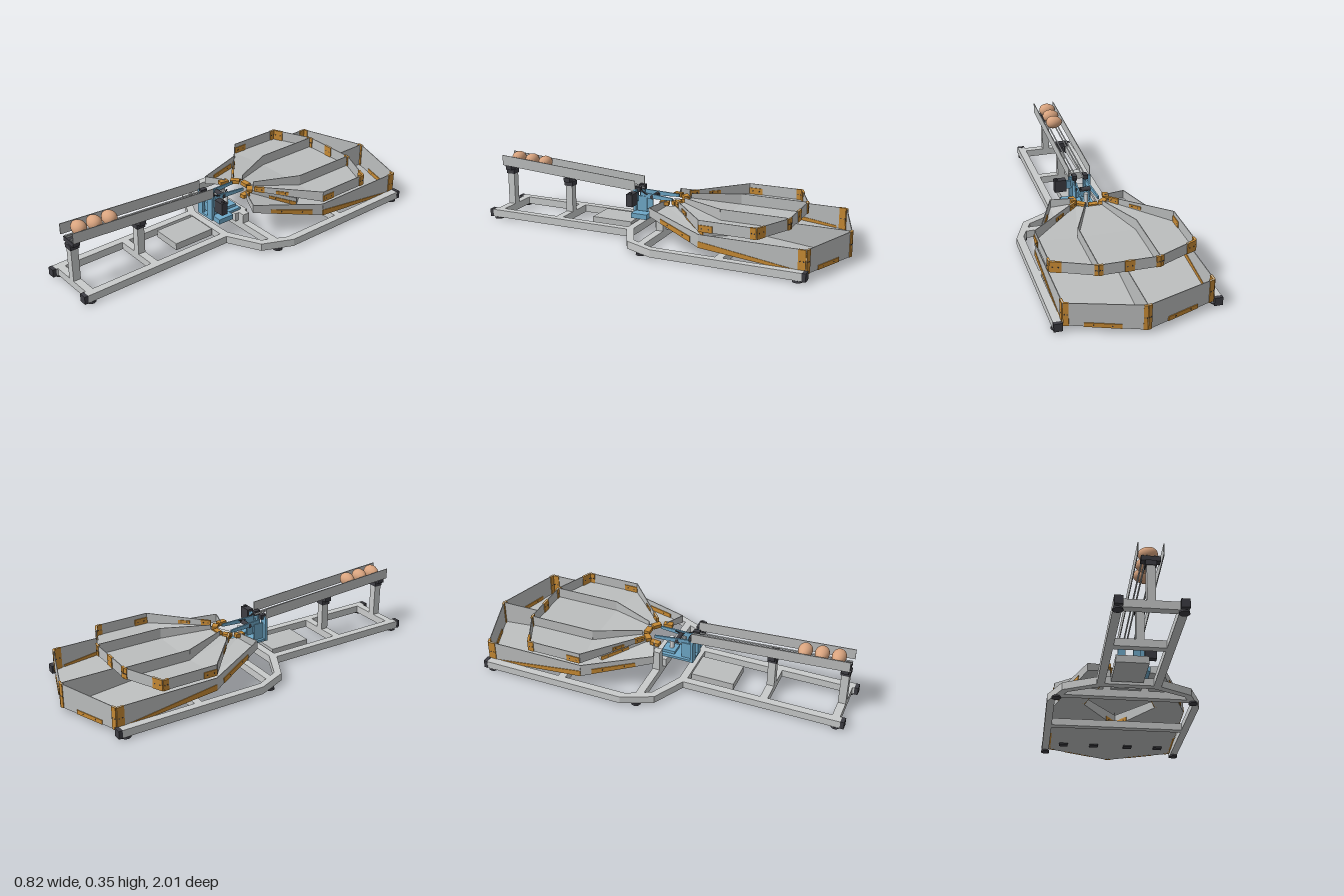
import * as THREE from 'three';
import { ConvexGeometry } from 'three/addons/geometries/ConvexGeometry.js';

const mat = (name, color, side = THREE.FrontSide) => {
  const m = new THREE.MeshStandardMaterial({ color, side });
  m.name = name;
  return m;
};

export function createModel() {
  const root = new THREE.Group();
  root.name = 'eggSortingTable';
  const frame = mat('frame grey', 0xc9cbcb);
  const sheet = mat('sheet metal', 0xbcbebe, THREE.DoubleSide);
  const wood = mat('orange bracket', 0xc78a34);
  const dark = mat('dark plastic', 0x3d3d43);
  const blue = mat('blue mechanism', 0x6fa9c9);
  const shell = mat('egg shell', 0xd9a47f);
  const chrome = mat('pale rod', 0xdfe3e5);

  const add = (name, geo, m, parent = root) => {
    const mesh = new THREE.Mesh(geo, m);
    mesh.name = name;
    parent.add(mesh);
    return mesh;
  };
  // Box given by its limits on each axis
  const box = (name, m, x0, x1, y0, y1, z0, z1) => {
    const mesh = add(name, new THREE.BoxGeometry(x1 - x0, y1 - y0, z1 - z0), m);
    mesh.position.set((x0 + x1) / 2, (y0 + y1) / 2, (z0 + z1) / 2);
    return mesh;
  };
  const rod = (name, m, pts, r) => add(name, new THREE.TubeGeometry(
    new THREE.CatmullRomCurve3(pts.map(p => new THREE.Vector3(...p))), 16, r, 8), m);
  // Upright plate between two stations [x, z, bottom, top]
  const plate = (name, m, a, b, t) => {
    const n = new THREE.Vector2(b[1] - a[1], a[0] - b[0]).normalize().multiplyScalar(t / 2);
    const pts = [];
    for (const p of [a, b]) for (const k of [-1, 1]) for (const y of [p[2], p[3]])
      pts.push(new THREE.Vector3(p[0] + k * n.x, y, p[1] + k * n.y));
    return add(name, new ConvexGeometry(pts), m);
  };
  // Bracket covering the part u0..u1 along a wall and v0..v1 of its height, with screws
  const bracket = (a, b, u0, u1, v0, v1) => {
    const at = u => {
      const p = a.map((v, i) => v + (b[i] - v) * u);
      return [p[0], p[1], p[2] + (p[3] - p[2]) * v0, p[2] + (p[3] - p[2]) * v1];
    };
    const p = at(u0), q = at(u1);
    plate('bracket', wood, p, q, 0.012);
    const angle = Math.atan2(q[0] - p[0], q[1] - p[1]) + Math.PI / 2;
    for (const u of [0.25, 0.75]) {
      const c = p.map((v, i) => v + (q[i] - v) * u);
      const g = new THREE.CylinderGeometry(0.0035, 0.0035, 0.014, 8).rotateX(Math.PI / 2).rotateY(angle);
      add('screw', g, dark).position.set(c[0], (c[2] + c[3]) / 2, c[1]);
    }
  };
  const wall = (a, b, name = 'trayWall') => plate(name, sheet, a, b, 0.004);
  // Flat panel from corner points [x, y, z], cut as a fan
  const panel = (name, pts) => {
    const v = [];
    for (let i = 1; i < pts.length - 1; i++) v.push(...pts[0], ...pts[i], ...pts[i + 1]);
    const g = new THREE.BufferGeometry();
    g.setAttribute('position', new THREE.Float32BufferAttribute(v, 3));
    g.computeVertexNormals();
    return add(name, g, sheet);
  };
  const floorY = z => 0.02 + 0.095 * (z + 1);

  // Base frame: bent side rails, cross members, end caps and feet
  const railOutline = [[0.165, 0.98], [0.165, 0.15], [0.335, 0.06], [0.405, -0.1], [0.405, -0.885],
    [0.365, -0.885], [0.365, -0.09], [0.305, 0.035], [0.125, 0.125], [0.125, 0.98]];
  for (const s of [-1, 1]) {
    const shape = new THREE.Shape(railOutline.map(([x, z]) => new THREE.Vector2(s * x, -z)));
    const g = new THREE.ExtrudeGeometry(shape, { depth: 0.04, bevelEnabled: false }).rotateX(-Math.PI / 2);
    add('sideRail', g, frame).position.y = 0.01;
    box('railEndCap', dark, s * 0.145 - 0.02, s * 0.145 + 0.02, 0.009, 0.051, 0.98, 1.0);
    box('railEndCap', dark, s * 0.385 - 0.021, s * 0.385 + 0.021, 0.009, 0.051, -0.895, -0.875);
    for (const [x, z] of [[0.145, 0.955], [0.385, -0.85], [0.36, -0.03]])
      add('foot', new THREE.CylinderGeometry(0.023, 0.025, 0.01, 16), dark).position.set(s * x, 0.005, z);
  }
  for (const [z, w] of [[0.95, 0.125], [0.575, 0.125], [0.14, 0.14], [-0.02, 0.34], [-0.45, 0.365]])
    box('crossMember', frame, -w, w, 0.01, 0.05, z - 0.02, z + 0.02);

  // Electronics tray between the front rails
  box('controlBox', sheet, -0.095, 0.07, 0.02, 0.058, 0.17, 0.4);

  // Lower tray: two lanes with side chutes
  const F = (x, z, top = 0.15) => [x, z, floorY(z), top];
  wall(F(0, -1), F(0, -0.55), 'lowerDivider');
  for (const s of [-1, 1]) {
    const tip = F(0, -1), back = F(s * 0.36, -0.88), side = F(s * 0.36, -0.34);
    const wing = [s * 0.2, 0, 0.15, 0.195], hub = [s * 0.085, -0.045, 0.18, 0.21];
    const inner = [s * 0.07, -0.09, 0.18, 0.2], elbow = F(s * 0.2, -0.3, 0.13), notch = F(0, -0.55, 0.13);
    const P = p => [p[0], p[2], p[1]];
    panel('lowerFloor', [notch, tip, back, side, elbow].map(P));
    panel('lowerChute', [elbow, side, wing, hub, inner].map(P));
    const runs = [tip, back, side, wing, hub];
    for (let i = 0; i < 4; i++) wall(runs[i], runs[i + 1]);
    wall(inner, elbow, 'lowerInnerWall');
    wall(elbow, notch, 'lowerInnerWall');
    bracket(tip, back, 0.0, 0.05, 0, 1);
    bracket(tip, back, 0.3, 0.75, 0, 0.18);
    bracket(tip, back, 0.93, 1, 0, 1);
    bracket(back, side, 0, 0.07, 0, 1);
    plate('bottomStrip', wood, [s * 0.36, -0.83, 0.036, 0.048], [s * 0.36, -0.34, 0.083, 0.115], 0.01);
    bracket(side, wing, 0.15, 0.75, 0.05, 0.5);
    bracket(inner, elbow, 0.4, 1, 0, 0.5);
    bracket(elbow, notch, 0.7, 1, 0, 0.4);
    for (const x of [0.1, 0.28])
      box('floorPad', dark, s * x - 0.025, s * x + 0.025, floorY(-0.8) - 0.01, floorY(-0.8) - 0.002, -0.82, -0.78);
  }

  // Upper tray: three lanes fanning out of the hub
  const U = (x, z, y = 0.165, top = 0.222) => [x, z, y, top];
  const P = p => [p[0], p[2], p[1]];
  const mid = s => [U(s * 0.15, -0.73), U(s * 0.15, -0.37), U(s * 0.045, -0.13, 0.198)];
  const [rl, el, hl] = mid(1), [rr, er, hr] = mid(-1);
  panel('upperMiddleFloor', [rl, el, er, rr].map(P));
  panel('upperMiddleChute', [el, hl, hr, er].map(P));
  wall(rl, rr);
  for (const u of [0, 0.42, 0.93]) bracket(rl, rr, u, u + (u === 0.42 ? 0.16 : 0.07), 0, 1);
  for (const s of [-1, 1]) {
    const [rear, elbow, hub] = mid(s);
    const back = U(s * 0.36, -0.635), side = U(s * 0.36, -0.34), out = U(s * 0.09, -0.1, 0.195);
    panel('upperSideFloor', [rear, back, side, elbow].map(P));
    panel('upperSideChute', [elbow, side, out, hub].map(P));
    const runs = [rear, back, side, out];
    for (let i = 0; i < 3; i++) wall(runs[i], runs[i + 1]);
    wall(rear, elbow, 'upperDivider');
    wall(elbow, hub, 'upperDivider');
    bracket(rear, back, 0, 0.08, 0, 1);
    bracket(rear, back, 0.75, 1, 0, 1);
    bracket(back, side, 0, 0.1, 0, 1);
    bracket(back, side, 0.75, 1, 0, 0.6);
    bracket(side, out, 0.5, 0.68, 0.15, 0.6);
    bracket(side, out, 0.85, 1, 0, 1);
  }

  // Orange hub blocks around the outlet
  for (let i = -2; i <= 2; i++) {
    const a = i * 0.72;
    const b = box('hubBlock', wood, -0.024, 0.024, 0.185, 0.205, -0.015, 0.015);
    b.position.x = Math.sin(a) * 0.09;
    b.position.z = -0.025 - Math.cos(a) * 0.09;
    b.rotation.y = -a;
  }

  // Inclined feed track on two posts
  for (const s of [-1, 1]) {
    plate('trackWall', sheet, [s * 0.058, 0.975, 0.28, 0.337], [s * 0.058, 0.15, 0.228, 0.283], 0.004);
    for (const x of [0.018, 0.034])
      rod('trackRod', chrome, [[s * x, 0.279, 0.97], [s * x, 0.229, 0.13]], 0.004);
  }
  for (const [z, top] of [[0.95, 0.25], [0.575, 0.222]]) {
    box('trackPost', frame, -0.02, 0.02, 0.05, top, z - 0.02, z + 0.02);
    box('postCap', dark, -0.025, 0.025, top - 0.025, top, z - 0.024, z + 0.024);
    box('trackClamp', dark, -0.044, 0.044, top, top + 0.024, z - 0.018, z + 0.018);
  }

  // Eggs lying across the track
  [0.905, 0.82, 0.735].forEach((z, i) => {
    const g = new THREE.SphereGeometry(1, 32, 20);
    const p = g.attributes.position;
    for (let k = 0; k < p.count; k++) {
      const x = p.getX(k), f = 1 + 0.12 * x;
      p.setXYZ(k, x * 0.047, p.getY(k) * 0.036 * f, p.getZ(k) * 0.036 * f);
    }
    g.computeVertexNormals();
    add('egg', g, shell).position.set(-0.006, 0.317 - i * 0.005, z);
  });

  // Blue turning mechanism with its motor and supports
  box('mechanismBase', blue, -0.055, 0.06, 0.097, 0.11, -0.03, 0.16);
  box('mechanismArm', blue, 0.05, 0.11, 0.095, 0.122, 0.06, 0.15);
  for (const s of [-1, 1]) {
    box('mechanismPlate', blue, s * 0.04 - 0.02, s * 0.04 + 0.02, 0.1, 0.235, 0.145, 0.16);
    box('mechanismSide', blue, s * 0.036 - 0.004, s * 0.036 + 0.004, 0.11, 0.2, 0.09, 0.15);
    box('trackEndClamp', dark, s * 0.03 - 0.012, s * 0.03 + 0.012, 0.22, 0.245, 0.13, 0.165);
    plate('guideFinger', blue, [s * 0.03, 0.13, 0.19, 0.22], [s * 0.045, -0.06, 0.195, 0.21], 0.008);
    box('supportPost', frame, s * 0.1 - 0.02, s * 0.1 + 0.02, 0.05, s < 0 ? 0.16 : 0.1, -0.04, 0);
  }
  box('mechanismBrace', blue, -0.04, 0.04, 0.12, 0.17, 0.125, 0.14);
  box('supportBlock', frame, -0.08, 0.08, 0.05, 0.097, -0.06, 0.02);
  box('turnTable', blue, -0.035, 0.035, 0.11, 0.125, -0.02, 0.05);
  const shaft = add('turnShaft', new THREE.CylinderGeometry(0.012, 0.012, 0.08, 16), chrome);
  shaft.position.set(0, 0.155, 0.02);
  const roller = add('turnRoller', new THREE.CylinderGeometry(0.012, 0.012, 0.08, 16).rotateZ(Math.PI / 2), dark);
  roller.position.set(0, 0.2, 0.06);
  box('motor', dark, 0.08, 0.143, 0.165, 0.232, 0.125, 0.16);
  box('motorPlug', dark, 0.125, 0.137, 0.23, 0.24, 0.135, 0.15);
  box('motorMount', blue, 0.05, 0.082, 0.175, 0.22, 0.135, 0.15);
  rod('cable', dark, [[0.03, 0.235, 0.14], [0.035, 0.215, 0.1], [0.03, 0.205, 0.06], [0.02, 0.22, 0.03]], 0.004);

  return root;
}
